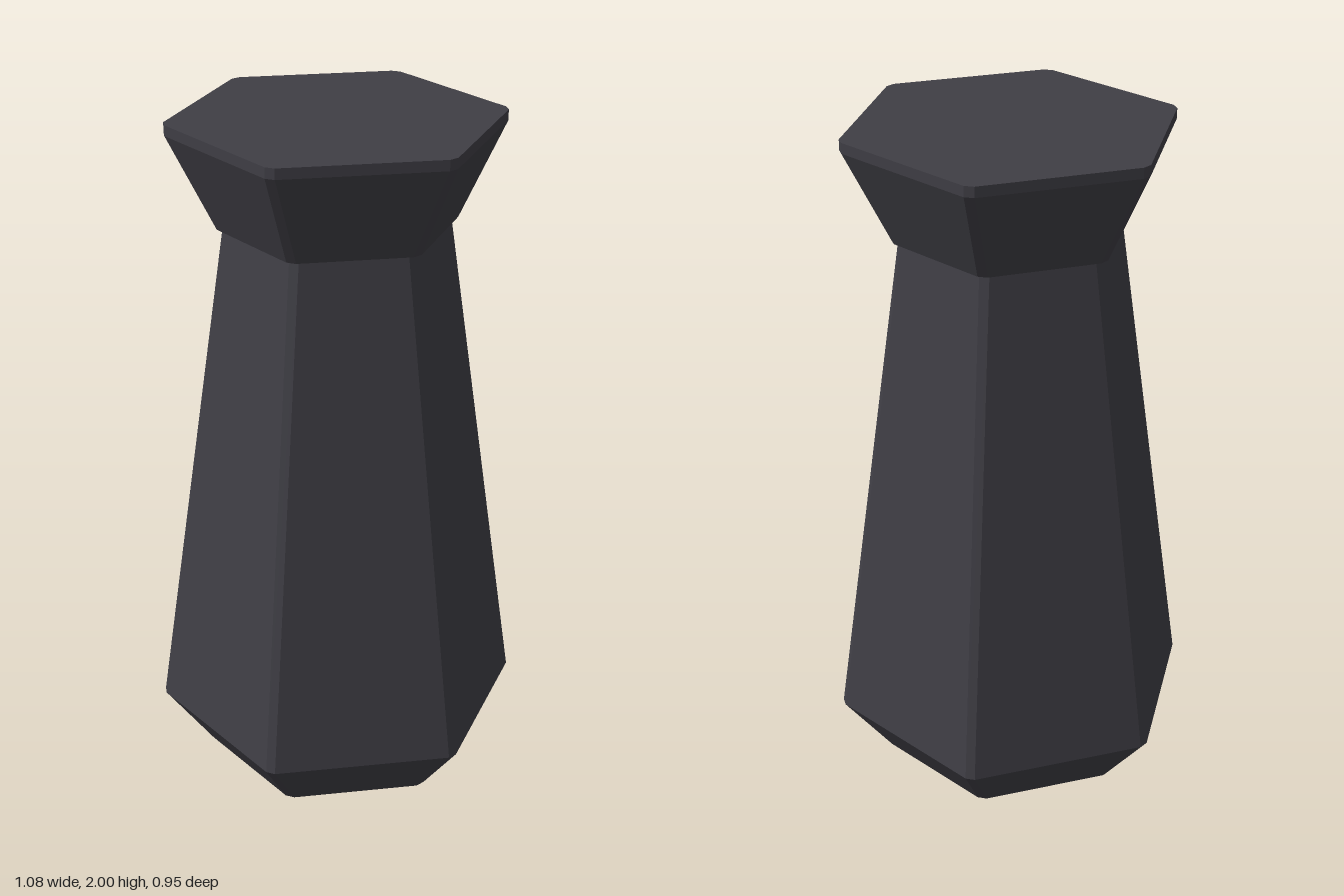
import * as THREE from 'three';

const CUT = 0.016; // size of the small corner chamfer

// Hexagonal ring with chamfered corners, points towards +x and -x
function ring(radius, y) {
  const corner = (k) => new THREE.Vector3(
    Math.cos(k * Math.PI / 3) * radius, y, Math.sin(k * Math.PI / 3) * radius);
  const points = [];
  for (let k = 0; k < 6; k++) {
    const c = corner(k);
    for (const n of [k - 1, k + 1]) {
      points.push(c.clone().lerp(corner(n), CUT / radius));
    }
  }
  return points;
}

// Closed flat-faced solid through a stack of [radius, y] levels
function loft(levels) {
  const rings = levels.map(([r, y]) => ring(r, y));
  const n = rings[0].length;
  const tris = [];
  for (let i = 0; i < n; i++) {
    const j = (i + 1) % n;
    for (let l = 0; l < rings.length - 1; l++) {
      const lo = rings[l], up = rings[l + 1];
      tris.push(lo[i], up[i], lo[j], lo[j], up[i], up[j]);
    }
    const bottom = rings[0], top = rings[rings.length - 1];
    tris.push(new THREE.Vector3(0, bottom[0].y, 0), bottom[i], bottom[j]);
    tris.push(new THREE.Vector3(0, top[0].y, 0), top[j], top[i]);
  }
  const geometry = new THREE.BufferGeometry().setFromPoints(tris);
  geometry.computeVertexNormals();
  return geometry;
}

export function createModel() {
  const group = new THREE.Group();
  group.name = 'hexagonalPillar';

  const darkStone = new THREE.MeshStandardMaterial({ color: 0x3f3e45 });
  darkStone.name = 'darkStone';

  const add = (name, levels) => {
    const mesh = new THREE.Mesh(loft(levels), darkStone);
    mesh.name = name;
    group.add(mesh);
  };

  // Tapered shaft with an undercut foot
  add('shaft', [[0.407, 0], [0.548, 0.187], [0.327, 1.698]]);
  // Flared head with a thin upright lip
  add('head', [[0.346, 1.698], [0.478, 1.97], [0.478, 2]]);

  return group;
}
